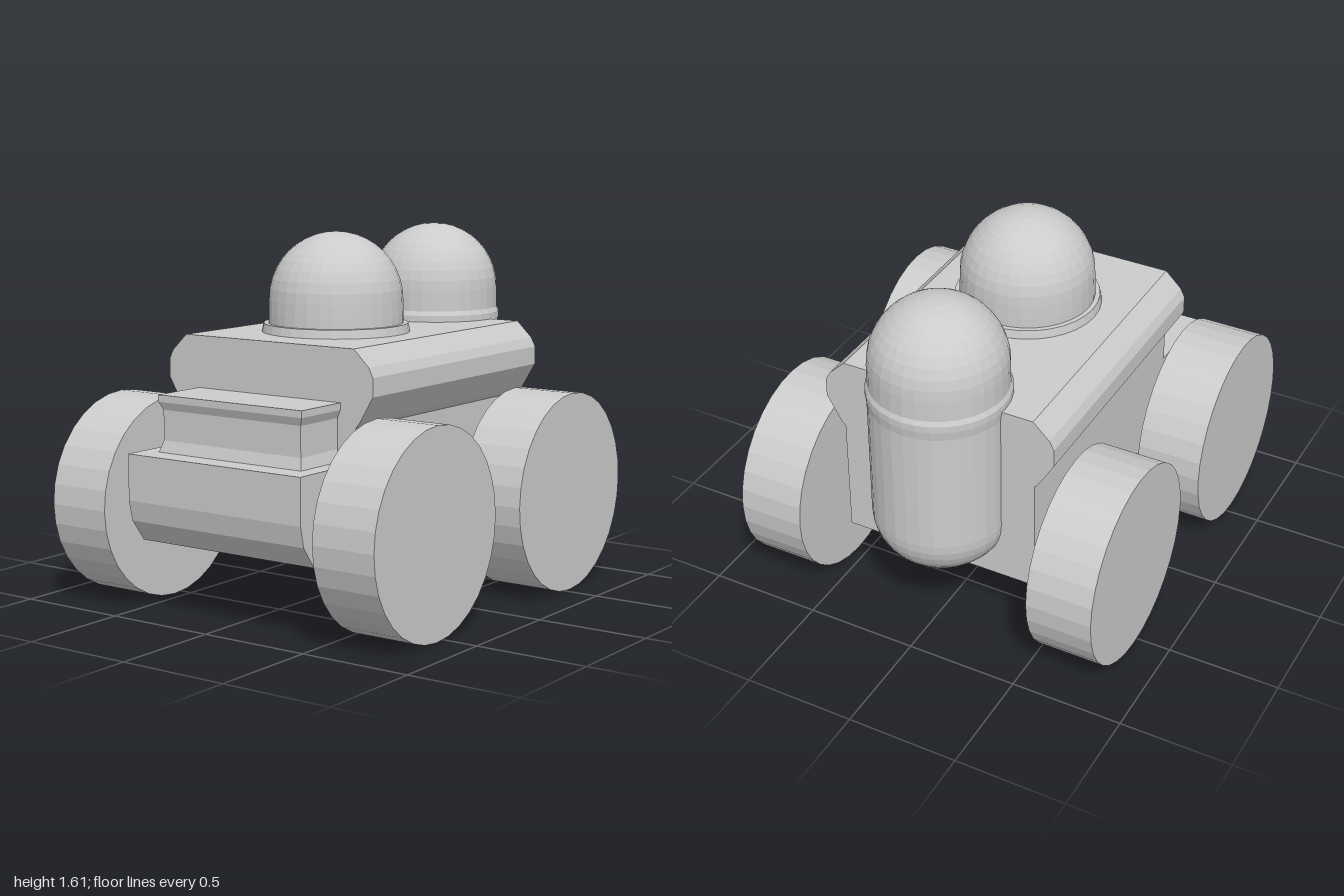
import * as THREE from 'three';

const material = new THREE.MeshStandardMaterial({ color: 0xcccccc, flatShading: true });

export function createModel() {
  const model = new THREE.Group();
  model.name = 'buggy';

  const add = (name, geometry, x = 0, y = 0, z = 0) => {
    const mesh = new THREE.Mesh(geometry, material);
    mesh.name = name;
    mesh.position.set(x, y, z);
    model.add(mesh);
    return mesh;
  };
  const extrude = (points, depth) =>
    new THREE.ExtrudeGeometry(new THREE.Shape(points.map(p => new THREE.Vector2(...p))),
      { depth, bevelEnabled: false });
  // Side profile given as (z, y), extruded across x and centred
  const sideExtrude = (points, width) =>
    extrude(points.map(([z, y]) => [-z, y]), width)
      .translate(0, 0, -width / 2).rotateY(Math.PI / 2);
  const lathe = (points, segments = 32) =>
    new THREE.LatheGeometry(points.map(p => new THREE.Vector2(...p)), segments);
  // Quarter-ellipse points from angle a0 to a1
  const arc = (r, h, cy, a0, a1, n = 10) => Array.from({ length: n + 1 }, (_, i) => {
    const a = a0 + (a1 - a0) * i / n;
    return [Math.max(0, r * Math.cos(a)), cy + h * Math.sin(a)];
  });

  // Lower hull with the projecting nose, undercut at the front
  add('lowerHull', sideExtrude([
    [-0.72, 0.315], [0.86, 0.315], [0.93, 0.41], [0.95, 0.5], [0.95, 0.7],
    [0.575, 0.7], [0.575, 0.86], [-0.72, 0.86],
  ], 0.908));

  // Upper hull with flared, chamfered flanks
  const right = [[0.45, 0.84], [0.475, 0.87], [0.54, 0.98], [0.54, 1.06], [0.52, 1.1], [0.445, 1.172]];
  const left = right.map(([x, y]) => [-x, y]).reverse();
  add('upperHull', extrude([...right, ...left], 1.295), 0, 0, -0.72);

  // Front step: stacked rectangular sections forming a slight waist
  const stepSections = [
    [0.69, 0.38, 0.845], [0.75, 0.362, 0.825], [0.88, 0.362, 0.825],
    [0.915, 0.378, 0.84], [0.945, 0.378, 0.84],
  ];
  const positions = [], index = [];
  for (const [y, x, z] of stepSections)
    positions.push(-x, y, 0.55, -x, y, z, x, y, z, x, y, 0.55);
  for (let i = 0; i < stepSections.length - 1; i++)
    for (let j = 0; j < 4; j++) {
      const a = i * 4 + j, b = i * 4 + (j + 1) % 4;
      index.push(a, b, b + 4, a, b + 4, a + 4);
    }
  const top = (stepSections.length - 1) * 4;
  index.push(top, top + 1, top + 2, top, top + 2, top + 3, 0, 2, 1, 0, 3, 2);
  const step = new THREE.BufferGeometry();
  step.setAttribute('position', new THREE.Float32BufferAttribute(positions, 3));
  step.setIndex(index);
  step.computeVertexNormals();
  add('frontStep', step);

  // Turret dome on its collar
  add('turretCollar', new THREE.CylinderGeometry(0.318, 0.328, 0.05, 32), 0, 1.185, 0.085);
  add('turretDome', lathe([[0.297, 1.17], [0.297, 1.25], ...arc(0.295, 0.295, 1.313, 0, Math.PI / 2)]),
    0, 0, 0.085);

  // Upright tank at the rear, round at both ends, with a faint seam
  add('rearTank', lathe([
    ...arc(0.3, 0.26, 0.577, -Math.PI / 2, 0),
    [0.3, 1.13], [0.306, 1.17], [0.306, 1.2], [0.296, 1.22],
    ...arc(0.295, 0.295, 1.313, 0, Math.PI / 2),
  ]), 0, 0, -0.695);

  // Four solid wheels
  const wheel = new THREE.CylinderGeometry(0.446, 0.446, 0.296, 32).rotateZ(Math.PI / 2);
  for (const [end, z] of [['front', 0.555], ['rear', -0.533]])
    for (const [side, s] of [['Left', 1], ['Right', -1]])
      add(`${end}${side}Wheel`, wheel, s * 0.696, 0.447, z);

  return model;
}
